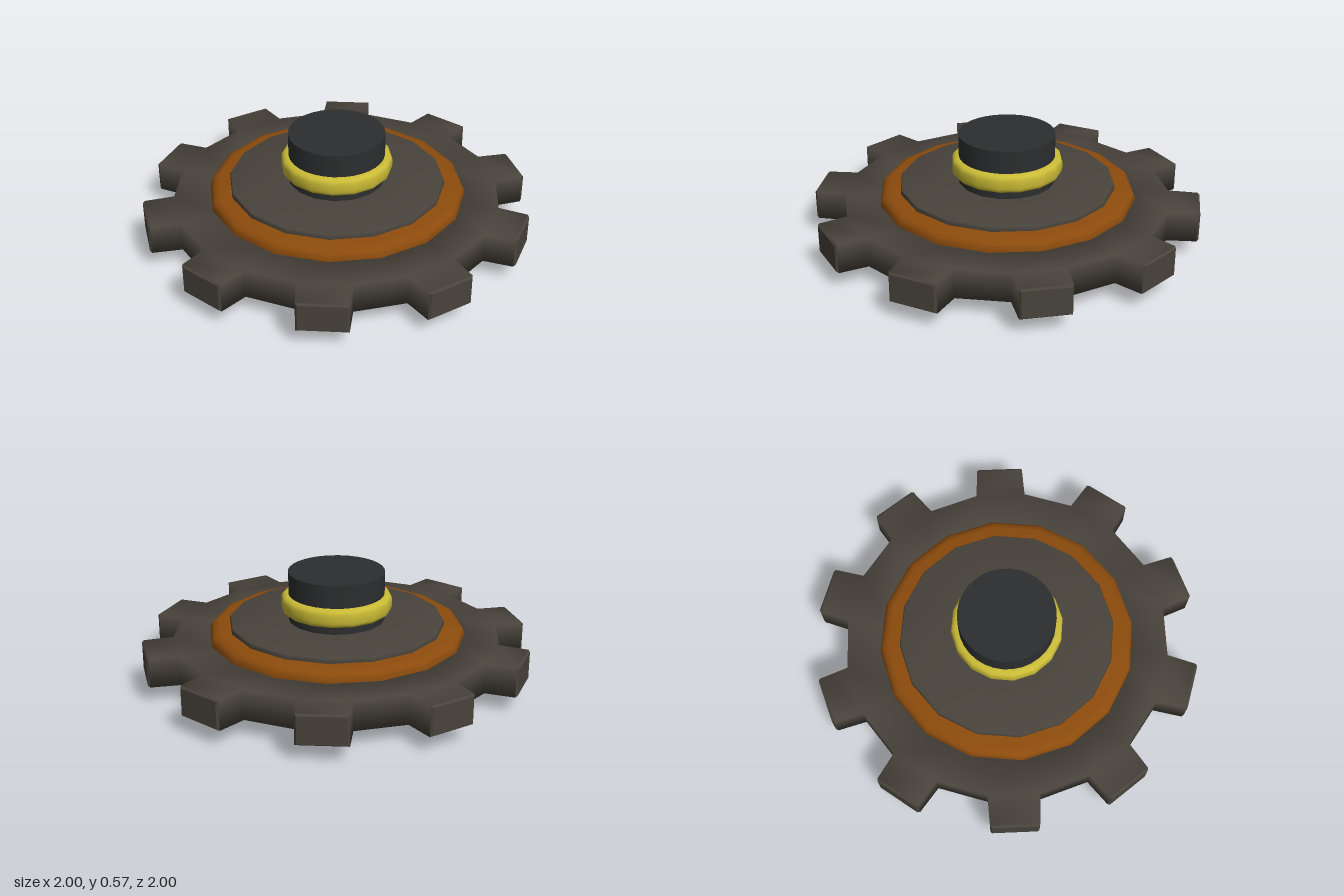
import * as THREE from 'three';
import { mergeVertices, toCreasedNormals } from 'three/addons/utils/BufferGeometryUtils.js';

const SIDES = 16;
const paint = (color) => new THREE.MeshStandardMaterial({ color });

function addMesh(parent, name, geometry, material) {
  const mesh = new THREE.Mesh(geometry, material);
  mesh.name = name;
  parent.add(mesh);
  return mesh;
}

// Closed ring turned about y, with rounded outer corners
function turnedRing(inner, outer, y0, y1, round, steps) {
  const pts = [new THREE.Vector2(inner, y0)];
  for (let i = 0; i <= steps; i++) {
    const a = (i / steps) * Math.PI / 2;
    pts.push(new THREE.Vector2(outer - round + round * Math.sin(a), y0 + round - round * Math.cos(a)));
  }
  for (let i = 0; i <= steps; i++) {
    const a = (i / steps) * Math.PI / 2;
    pts.push(new THREE.Vector2(outer - round + round * Math.cos(a), y1 - round + round * Math.sin(a)));
  }
  pts.push(new THREE.Vector2(inner, y1), new THREE.Vector2(inner, y0));
  return toCreasedNormals(new THREE.LatheGeometry(pts, SIDES), 0.6);
}

// Geometry from four-cornered faces, corners counter-clockwise
function fromQuads(quads) {
  const pos = [];
  for (const [a, b, c, d] of quads) {
    for (const p of [a, b, c, a, c, d]) pos.push(p.x, p.y, p.z);
  }
  const g = new THREE.BufferGeometry();
  g.setAttribute('position', new THREE.Float32BufferAttribute(pos, 3));
  return g;
}

// Toothed wheel: 20 sectors, every second one drawn out into a tooth
function toothedWheel() {
  const rIn = 0.63, rOut = 0.84, y0 = 0.085, y1 = 0.24, step = Math.PI / 10;
  const at = (r, k, y) => new THREE.Vector3(r * Math.sin(k * step), y, -r * Math.cos(k * step));
  const body = [], tips = [];
  for (let k = 0; k < 20; k++) {
    const n = k + 1;
    const it0 = at(rIn, k, y1), it1 = at(rIn, n, y1), ib0 = at(rIn, k, y0), ib1 = at(rIn, n, y0);
    const ot0 = at(rOut, k, y1), ot1 = at(rOut, n, y1), ob0 = at(rOut, k, y0), ob1 = at(rOut, n, y0);
    body.push([ot1, ot0, it0, it1], [ob0, ob1, ib1, ib0], [ib0, ib1, it1, it0]);
    if (k % 2) {
      body.push([ob1, ob0, ot0, ot1]);
      continue;
    }
    // Tooth: point at a distance along its axis, offset sideways
    const a = (k + 0.5) * step;
    const tip = (r, s, y) => new THREE.Vector3(
      r * Math.sin(a) + s * Math.cos(a), y, -r * Math.cos(a) + s * Math.sin(a));
    const loop = (r, s, inset) => [
      tip(r, s, y0 + inset), tip(r, -s, y0 + inset), tip(r, -s, y1 - inset), tip(r, s, y1 - inset)];
    const [tb1, tb0, tt0, tt1] = loop(0.982, 0.124, 0);
    body.push([tt1, tt0, ot0, ot1], [tb0, tb1, ob1, ob0], [tb0, ob0, ot0, tt0], [ob1, tb1, tt1, ot1]);
    // Chamfered end of the tooth
    const rim = [tb1, tb0, tt0, tt1], cap = loop(0.992, 0.115, 0.008);
    tips.push(cap);
    for (let i = 0; i < 4; i++) {
      const j = (i + 1) % 4;
      tips.push([rim[i], rim[j], cap[j], cap[i]]);
    }
  }
  const smooth = mergeVertices(fromQuads(body));
  smooth.computeVertexNormals();
  const flat = fromQuads(tips);
  flat.computeVertexNormals();
  return { smooth, flat };
}

export function createModel() {
  const model = new THREE.Group();
  model.name = 'gearWheel';
  const iron = paint(0x48433b), rust = paint(0x8c4b0c), brass = paint(0xc9ba35), dark = paint(0x2c2d2e);

  // Toothed outer wheel
  const wheel = new THREE.Group();
  wheel.name = 'toothedWheel';
  const { smooth, flat } = toothedWheel();
  addMesh(wheel, 'wheelBody', smooth, iron);
  addMesh(wheel, 'toothTips', flat, iron);
  model.add(wheel);

  // Hub with a cover plate on each face
  addMesh(model, 'hub', turnedRing(0.25, 0.66, 0.03, 0.295, 0.05, 3), rust);
  addMesh(model, 'lowerPlate', turnedRing(0.255, 0.555, 0, 0.05, 0.012, 2), iron);
  addMesh(model, 'upperPlate', turnedRing(0.25, 0.555, 0.27, 0.32, 0.012, 2), iron);

  // Axle stub, leaving an open bore below it
  const axle = new THREE.CylinderGeometry(0.247, 0.247, 0.335, 32);
  addMesh(model, 'axle', axle, dark).position.y = 0.4075;

  // Collar around the axle
  addMesh(model, 'collar', turnedRing(0.24, 0.285, 0.36, 0.457, 0.03, 3), brass);
  return model;
}
